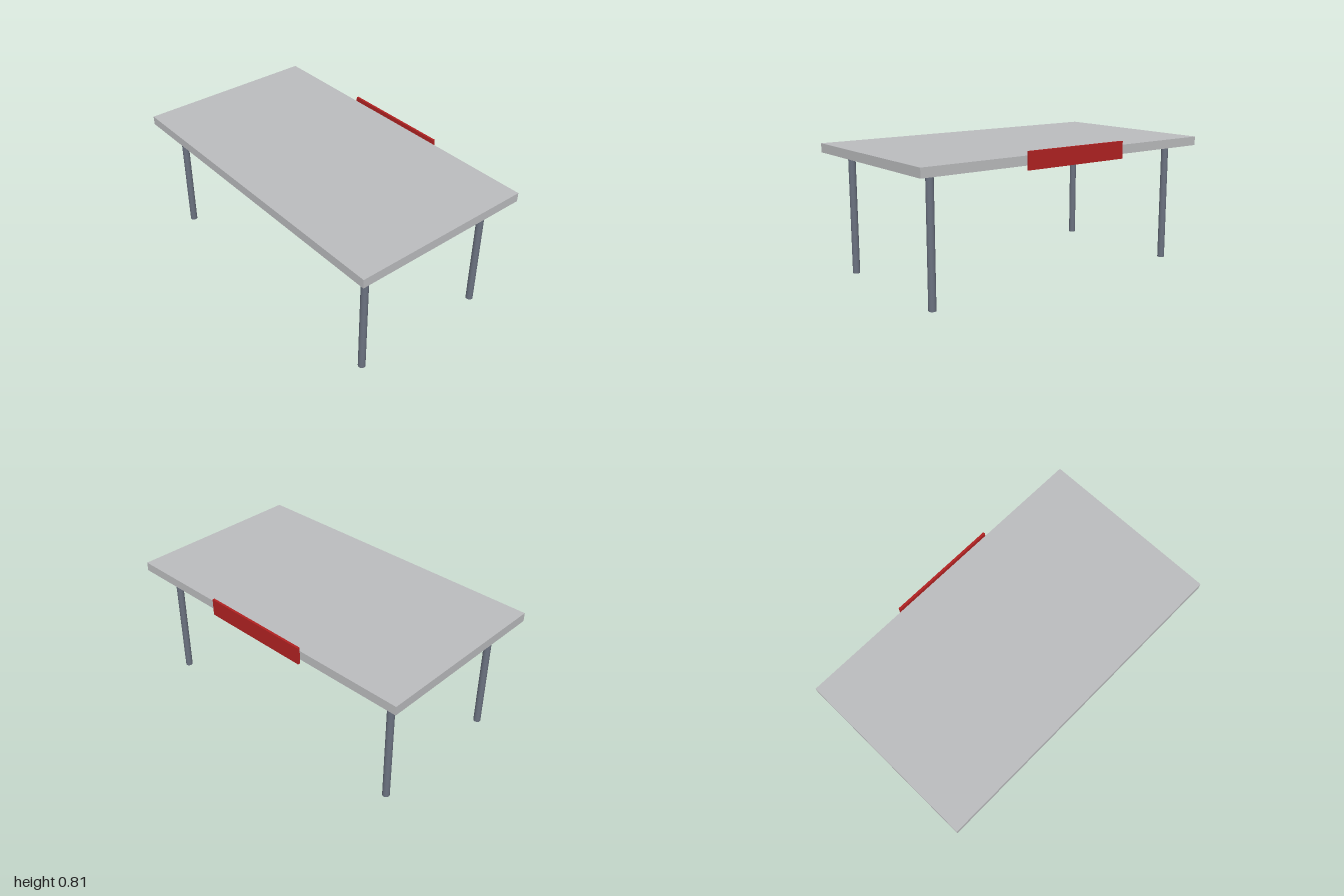
import * as THREE from 'three';

export function createModel() {
  const group = new THREE.Group();
  const material = (name, color) => {
    const m = new THREE.MeshStandardMaterial({ color });
    m.name = name;
    return m;
  };
  const topGrey = material('light grey', 0xbcbdbf);
  const legGrey = material('slate grey', 0x6b7280);
  const red = material('dark red', 0xb22222);

  const add = (name, geometry, mat, x, y, z) => {
    const mesh = new THREE.Mesh(geometry, mat);
    mesh.name = name;
    mesh.position.set(x, y, z);
    group.add(mesh);
  };

  // Table top
  const legHeight = 0.732, thickness = 0.054, depth = 1.129, centreZ = 0.0085;
  add('tableTop', new THREE.BoxGeometry(2, thickness, depth), topGrey,
    0, legHeight + thickness / 2, centreZ);

  // Four round legs, inset from the corners
  const legGeometry = new THREE.CylinderGeometry(0.0215, 0.0215, legHeight, 24);
  for (const [side, sx] of [['Left', 1], ['Right', -1]]) {
    for (const [end, sz] of [['front', 1], ['back', -1]]) {
      add(`${end}${side}Leg`, legGeometry, legGrey,
        sx * 0.87, legHeight / 2, centreZ + sz * 0.434);
    }
  }

  // Red panel on the back edge
  add('backPanel', new THREE.BoxGeometry(0.692, 0.103, 0.014), red,
    0, legHeight + thickness / 2, -0.565);

  return group;
}
